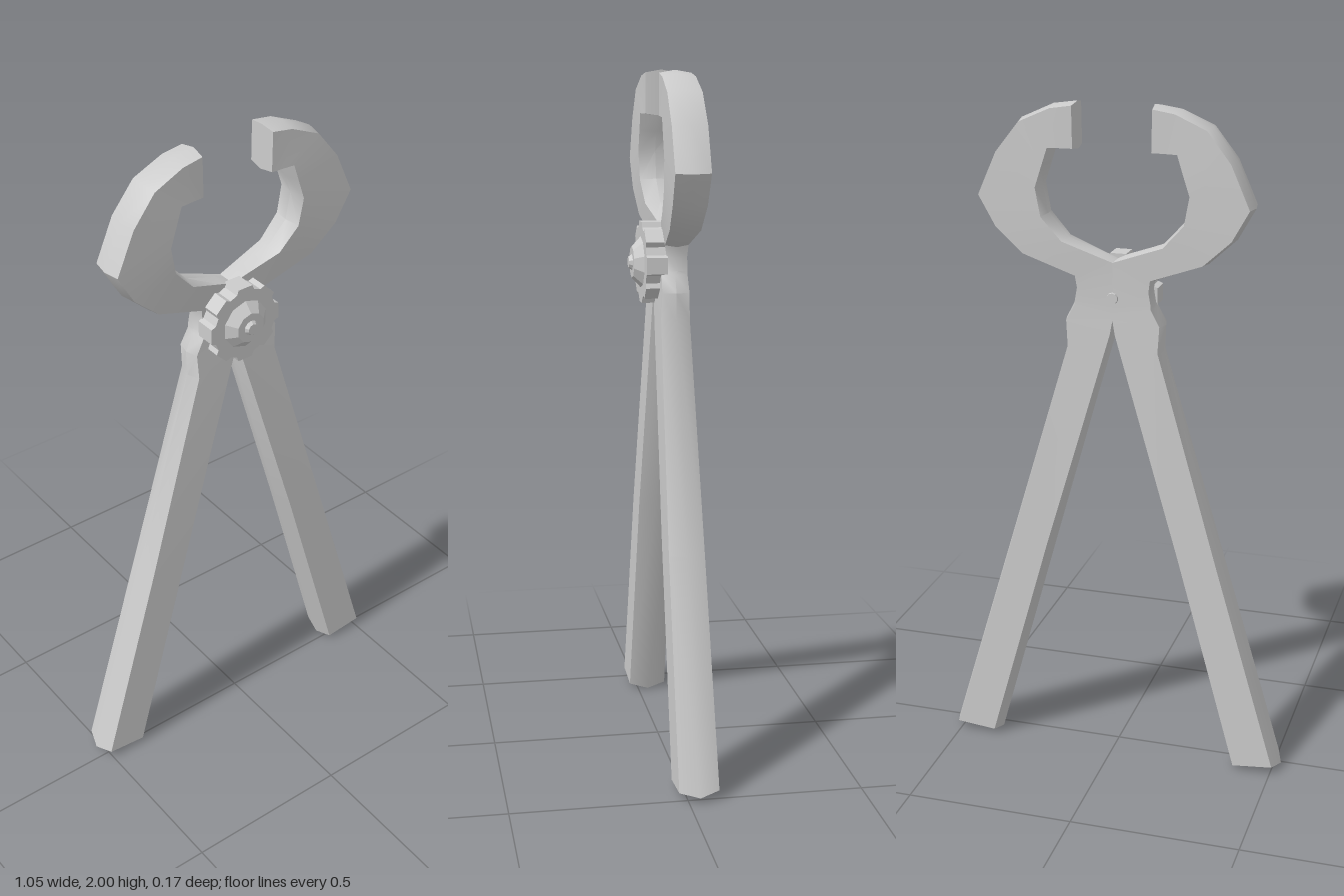
import * as THREE from 'three';
import { toCreasedNormals } from 'three/addons/utils/BufferGeometryUtils.js';

const PIVOT_Y = 1.455;

// Stations from handle end to jaw tip:
// [outer x, outer y, inner x, inner y, front z, back z, outer bevel, inner bevel]
const STATIONS = [
  [0.525, 0.02, 0.375, 0.005, 0.026, -0.088, 0.015, 0.015],
  [0.335, 0.66, 0.188, 0.68, 0.023, -0.08, 0.015, 0.015],
  [0.145, 1.30, 0.0, 1.35, 0.013, -0.07, 0.012, 0.008],
  [0.148, 1.38, 0.0, 1.39, 0.01, -0.068, 0.01, 0],
  [0.122, 1.43, 0.0, 1.42, 0.008, -0.067, 0.01, 0],
  [0.118, 1.44, 0.0, 1.43, -0.008, -0.067, 0.006, 0],
  [0.11, 1.475, 0.0, 1.558, -0.008, -0.067, 0.006, 0],
  [0.116, 1.508, 0.04, 1.58, -0.002, -0.07, 0.008, 0.008],
  [0.27, 1.566, 0.14, 1.614, 0.012, -0.076, 0.008, 0.008],
  [0.35, 1.64, 0.20, 1.68, 0.018, -0.078, 0.008, 0.008],
  [0.40, 1.73, 0.215, 1.762, 0.02, -0.079, 0.008, 0.008],
  [0.345, 1.857, 0.195, 1.82, 0.02, -0.079, 0.008, 0.008],
  [0.275, 1.947, 0.18, 1.868, 0.02, -0.077, 0.008, 0.008],
  [0.18, 1.99, 0.15, 1.868, 0.018, -0.076, 0.008, 0.006],
  [0.11, 2.0, 0.108, 1.868, 0.016, -0.075, 0.008, 0.006],
];

// Lofts one lever with a six-sided section; side is +1 or -1
function leverGeometry(side) {
  const pos = [];
  const index = [];
  const last = STATIONS.length - 1;
  const tri = (a, b, c) => (side > 0 ? index.push(a, b, c) : index.push(a, c, b));

  STATIONS.forEach(([ox, oy, ix, iy, zf, zb, bo, bi], s) => {
    const o = new THREE.Vector2(ox, oy);
    const i = new THREE.Vector2(ix, iy);
    const dir = i.clone().sub(o).normalize();
    const of = o.clone().addScaledVector(dir, bo);
    const inn = i.clone().addScaledVector(dir, -bi);
    // the end faces are ridged along the middle
    if (s === 0) [of, inn].forEach((p) => { p.y += 0.013; p.x -= 0.004; });
    if (s === last) [of, inn].forEach((p) => { p.x += 0.005; });
    const zm = (zf + zb) / 2;
    [[o, zm], [of, zf], [inn, zf], [i, zm], [inn, zb], [of, zb]]
      .forEach(([p, z]) => pos.push(side * p.x, p.y, z));
  });

  for (let s = 0; s < last; s++) {
    for (let k = 0; k < 6; k++) {
      const a = s * 6 + k;
      const b = s * 6 + ((k + 1) % 6);
      tri(a, a + 6, b + 6);
      tri(a, b + 6, b);
    }
  }
  const e = last * 6;
  for (let k = 1; k < 5; k++) {
    tri(0, k, k + 1);
    tri(e, e + k + 1, e + k);
  }

  const geo = new THREE.BufferGeometry();
  geo.setAttribute('position', new THREE.Float32BufferAttribute(pos, 3));
  geo.setIndex(index);
  return toCreasedNormals(geo, 0.6);
}

// Eight-lobed washer outline
function washerShape() {
  const shape = new THREE.Shape();
  for (let k = 0; k < 8; k++) {
    for (const [offset, r] of [[-0.28, 0.106], [-0.2, 0.119], [0.2, 0.119], [0.28, 0.106]]) {
      const a = (k * Math.PI) / 4 + offset;
      const x = Math.cos(a) * r;
      const y = Math.sin(a) * r;
      if (k === 0 && offset === -0.28) shape.moveTo(x, y);
      else shape.lineTo(x, y);
    }
  }
  shape.closePath();
  return shape;
}

export function createModel() {
  const group = new THREE.Group();
  const smooth = new THREE.MeshStandardMaterial({ color: 0xcccccc });
  const flat = new THREE.MeshStandardMaterial({ color: 0xcccccc, flatShading: true });

  const add = (name, geo, mat) => {
    const mesh = new THREE.Mesh(geo, mat);
    mesh.name = name;
    group.add(mesh);
    return mesh;
  };

  // Two levers, each a handle and a jaw
  add('leftLever', leverGeometry(1), smooth);
  add('rightLever', leverGeometry(-1), smooth);

  // Lobed washer
  const washer = new THREE.ExtrudeGeometry(washerShape(), { depth: 0.06, bevelEnabled: false });
  add('washer', washer, flat).position.set(0, PIVOT_Y, -0.01);

  // Round parts on the pivot axis: [name, front radius, back radius, back z, front z, sides]
  const rounds = [
    ['nut', 0.046, 0.074, 0.05, 0.076, 10],
    ['pinHead', 0.016, 0.023, 0.076, 0.086, 10],
    ['rearPin', 0.02, 0.016, -0.074, -0.05, 10],
  ];
  for (const [name, rf, rb, z0, z1, sides] of rounds) {
    const geo = new THREE.CylinderGeometry(rf, rb, z1 - z0, sides).rotateX(Math.PI / 2);
    add(name, geo, flat).position.set(0, PIVOT_Y, (z0 + z1) / 2);
  }
  return group;
}
